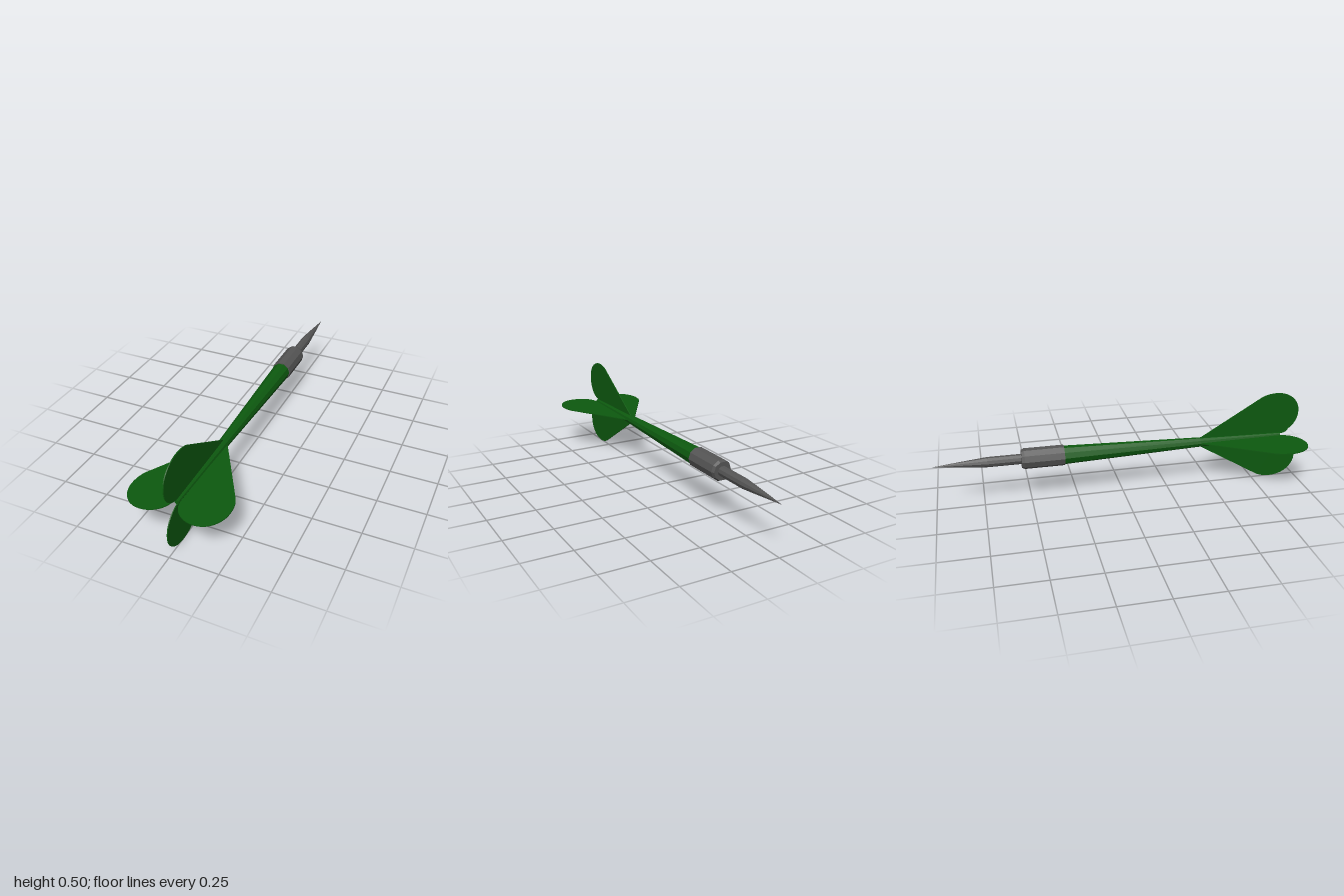
import * as THREE from 'three';

const AXIS_Y = 0.25;
const SIDES = 10;

export function createModel() {
  const dart = new THREE.Group();
  dart.name = 'dart';
  dart.position.y = AXIS_Y;

  const metal = new THREE.MeshStandardMaterial({ color: 0x555555, flatShading: true });
  const green = new THREE.MeshStandardMaterial({ color: 0x0d5a0f, flatShading: true });

  // Ten-sided body turned around the z axis; profile pairs are [radius, z], tip to tail
  function turned(name, profile, material) {
    const points = profile.map(([r, z]) => new THREE.Vector2(r, z));
    const geometry = new THREE.LatheGeometry(points, SIDES, Math.PI / 2, Math.PI * 2);
    geometry.rotateX(Math.PI / 2);
    const mesh = new THREE.Mesh(geometry, material);
    mesh.name = name;
    dart.add(mesh);
  }

  // Needle point, weighted barrel and tapering shaft
  turned('point', [[0, -1], [0.014, -0.86], [0.027, -0.72], [0.027, -0.53]], metal);
  turned('barrel', [[0, -0.545], [0.048, -0.545], [0.055, -0.53], [0.055, -0.32], [0, -0.32]], metal);
  turned('shaft', [[0, -0.33], [0.05, -0.33], [0.026, 0.43], [0.012, 0.9], [0, 0.9]], green);

  // Teardrop flight: x is the distance from the axis, y runs towards the tail
  const outline = new THREE.Shape();
  outline.moveTo(0.023, 0.43);
  outline.lineTo(0.23, 0.775);
  outline.bezierCurveTo(0.244, 0.8, 0.25, 0.83, 0.25, 0.865);
  outline.bezierCurveTo(0.25, 0.94, 0.2, 1, 0.135, 1);
  outline.bezierCurveTo(0.07, 1, 0.018, 0.955, 0.015, 0.89);
  outline.closePath();

  const thickness = 0.005;
  const flightGeometry = new THREE.ExtrudeGeometry(outline, {
    depth: thickness, bevelEnabled: false, curveSegments: 10,
  });
  flightGeometry.translate(0, 0, -thickness / 2);
  flightGeometry.rotateX(Math.PI / 2);

  // Four flights in a cross
  for (let i = 0; i < 4; i++) {
    const flight = new THREE.Mesh(flightGeometry, green);
    flight.name = `flight${i + 1}`;
    flight.rotation.z = (i * Math.PI) / 2;
    dart.add(flight);
  }

  const model = new THREE.Group();
  model.add(dart);
  return model;
}
